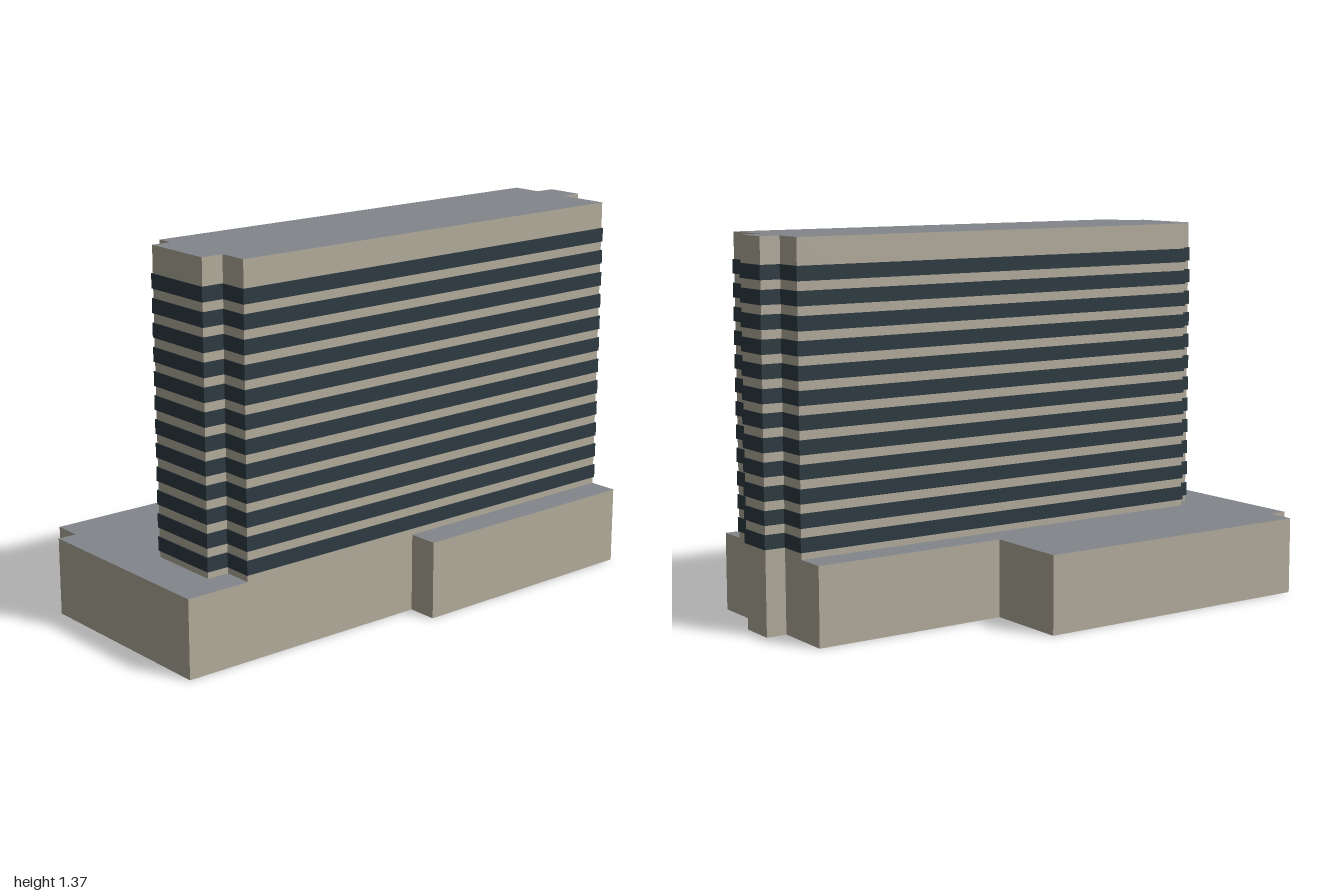
import * as THREE from 'three';

// Footprints as [x, z] corners, clockwise seen from above
const PODIUM = [
  [-1, -0.386], [-0.93, -0.386], [-0.93, -0.492], [0.18, -0.5], [0.18, -0.178], [0.92, -0.184],
  [0.92, 0.046], [0.996, 0.046], [0.996, 0.184], [0.92, 0.184], [0.92, 0.488], [-0.016, 0.498],
  [-0.016, 0.386], [-0.995, 0.392],
];
const TOWER = [
  [-0.762, -0.058], [0.92, -0.068], [0.92, 0.046], [0.996, 0.046], [0.996, 0.184], [0.92, 0.184],
  [0.92, 0.38], [-0.752, 0.39], [-0.752, 0.28], [-0.834, 0.28], [-0.834, 0.002], [-0.762, 0.002],
];

const PODIUM_TOP = 0.283, TOWER_TOP = 1.372, ROOF = 0.004;
const FLOORS = 12, FIRST_BAND = 0.307, FLOOR_STEP = 0.0835, BAND_HEIGHT = 0.051;

// Push every wall of a right-angled footprint outward by d
function offset(points, d) {
  const n = points.length;
  const normal = (a, b) => {
    const dx = b[0] - a[0], dz = b[1] - a[1], len = Math.hypot(dx, dz);
    return [dz / len, -dx / len];
  };
  return points.map((p, i) => {
    const a = normal(points[(i + n - 1) % n], p);
    const b = normal(p, points[(i + 1) % n]);
    return [p[0] + d * (a[0] + b[0]), p[1] + d * (a[1] + b[1])];
  });
}

// Upright prism over a footprint
function prism(name, points, y0, y1, material) {
  const shape = new THREE.Shape(points.map(([x, z]) => new THREE.Vector2(x, -z)));
  const geometry = new THREE.ExtrudeGeometry(shape, { depth: y1 - y0, bevelEnabled: false });
  geometry.rotateX(-Math.PI / 2).translate(0, y0, 0);
  const mesh = new THREE.Mesh(geometry, material);
  mesh.name = name;
  return mesh;
}

export function createModel() {
  const wall = new THREE.MeshStandardMaterial({ color: 0xb3ac9d });
  wall.name = 'concrete';
  const roof = new THREE.MeshStandardMaterial({ color: 0x82868b });
  roof.name = 'roof grey';
  const glass = new THREE.MeshStandardMaterial({ color: 0x2d3b42 });
  glass.name = 'dark glass';

  const model = new THREE.Group();
  model.name = 'officeBlock';

  // Bodies, each capped by a thin roof sheet with wall-coloured edges
  model.add(
    prism('podium', PODIUM, 0, PODIUM_TOP - ROOF, wall),
    prism('podiumRoof', PODIUM, PODIUM_TOP - ROOF, PODIUM_TOP, [roof, wall]),
    prism('tower', TOWER, PODIUM_TOP, TOWER_TOP - ROOF, wall),
    prism('towerRoof', TOWER, TOWER_TOP - ROOF, TOWER_TOP, [roof, wall]),
  );

  // Ribbon windows wrapping the tower on every floor
  const windows = new THREE.Group();
  windows.name = 'windowBands';
  const ring = offset(TOWER, 0.004);
  for (let i = 0; i < FLOORS; i++) {
    const y = FIRST_BAND + i * FLOOR_STEP;
    windows.add(prism('windowBand', ring, y, y + BAND_HEIGHT, glass));
  }
  model.add(windows);
  return model;
}
